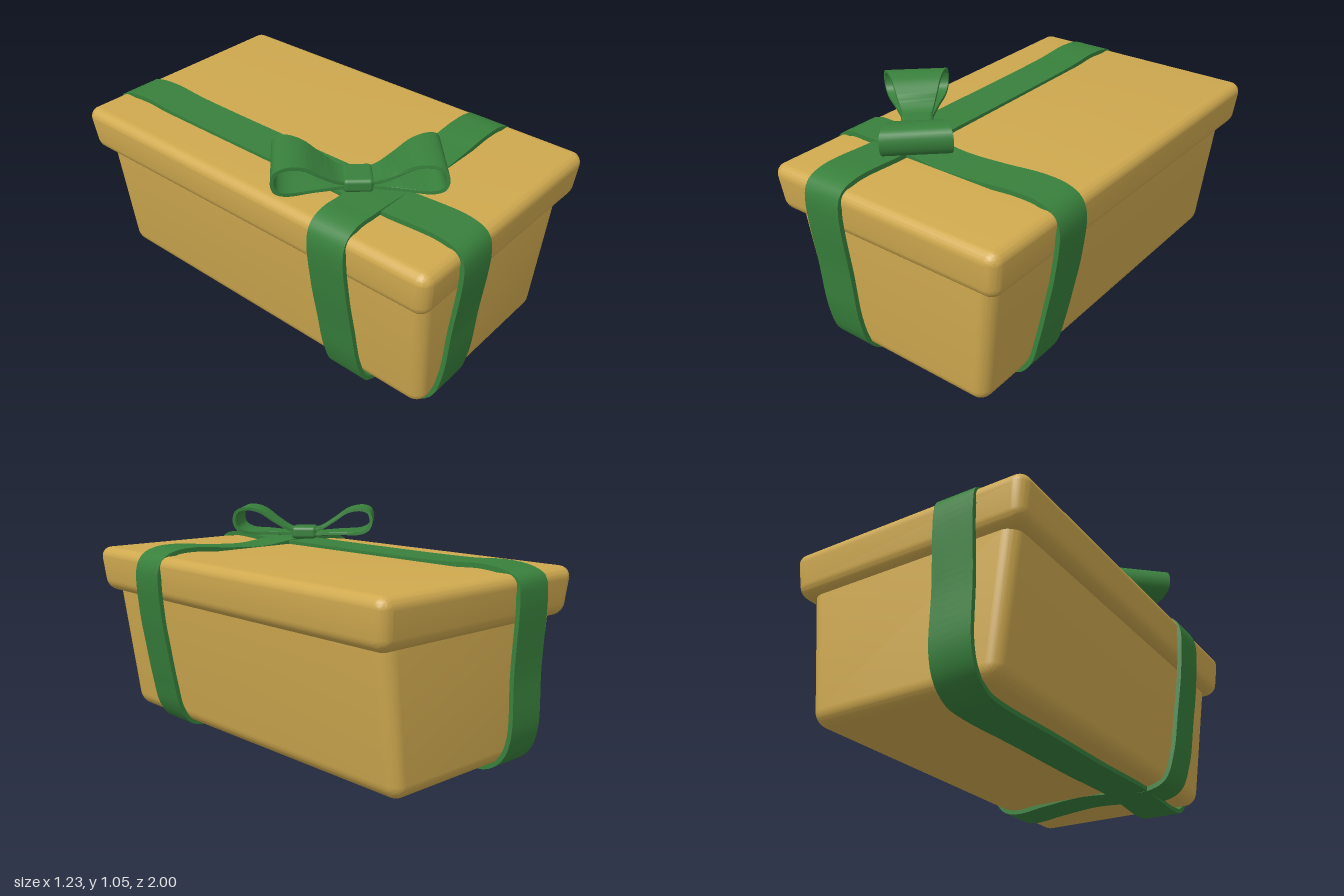
import * as THREE from 'three';
import { RoundedBoxGeometry } from 'three/addons/geometries/RoundedBoxGeometry.js';
import { toCreasedNormals } from 'three/addons/utils/BufferGeometryUtils.js';

const card = new THREE.MeshStandardMaterial({ color: 0xcfa94f });
const green = new THREE.MeshStandardMaterial({ color: 0x38803c });

// Move every vertex by a rule, then rebuild the normals
function reshape(geometry, rule, crease = 0.6) {
  const p = geometry.attributes.position;
  const v = new THREE.Vector3();
  for (let i = 0; i < p.count; i++) {
    v.fromBufferAttribute(p, i);
    rule(v);
    p.setXYZ(i, v.x, v.y, v.z);
  }
  return toCreasedNormals(geometry, crease);
}

function part(name, geometry, material) {
  const mesh = new THREE.Mesh(geometry, material);
  mesh.name = name;
  return mesh;
}

// Rounded box between y0 and y1 whose sides narrow towards the bottom
function taperedBox(width, depth, y0, y1, radius, narrowX, narrowZ, shiftZ) {
  const h = y1 - y0;
  const g = new RoundedBoxGeometry(width, h, depth, 6, radius);
  return reshape(g, (v) => {
    const down = 0.5 - v.y / h;
    v.x = v.x * (1 - narrowX * down) + 0.01;
    v.z = v.z * (1 - narrowZ * down) + shiftZ * down;
    v.y += (y0 + y1) / 2;
  });
}

// Points along a smooth path, with a copy shifted to its left by t
function pathSides(points, closed, t, n) {
  const curve = new THREE.CatmullRomCurve3(
    points.map(([x, y]) => new THREE.Vector3(x, y, 0)), closed, 'centripetal');
  const edge = [], inset = [];
  const count = closed ? n : n + 1;
  for (let i = 0; i < count; i++) {
    const p = curve.getPointAt(i / n), d = curve.getTangentAt(i / n);
    edge.push(new THREE.Vector2(p.x, p.y));
    inset.push(new THREE.Vector2(p.x - d.y * t, p.y + d.x * t));
  }
  return [edge, inset];
}

function extrude(shape, width) {
  const g = new THREE.ExtrudeGeometry(shape, { depth: width, bevelEnabled: false });
  return g.translate(0, 0, -width / 2);
}

// Closed ribbon: outer outline (counter-clockwise) with an inset hole
function ribbonLoop(points, width) {
  const [outer, inner] = pathSides(points, true, 0.021, 180);
  const shape = new THREE.Shape(outer);
  shape.holes.push(new THREE.Path(inner));
  return extrude(shape, width);
}

export function createModel() {
  const model = new THREE.Group();
  model.name = 'giftBox';

  model.add(part('boxBody', taperedBox(1.055, 1.86, 0.05, 0.72, 0.065, 0.16, 0.018, -0.016), card));
  model.add(part('boxLid', taperedBox(1.185, 1.97, 0.65, 0.865, 0.055, 0.04, 0.02, 0), card));

  // Ribbon running front to back: path in (z, y)
  const lengthwise = ribbonLoop([
    [-0.78, 0.006], [-0.4, 0.01], [0, 0.012], [0.45, 0.022], [0.74, 0.002], [0.84, 0.018],
    [0.91, 0.085], [0.95, 0.22], [0.972, 0.45], [0.998, 0.81], [0.97, 0.865], [0.89, 0.892],
    [0.6, 0.885], [0, 0.88], [-0.6, 0.882], [-0.8, 0.892], [-0.93, 0.875], [-0.985, 0.845],
    [-0.998, 0.78], [-0.985, 0.45], [-0.982, 0.18], [-0.945, 0.08], [-0.87, 0.02],
  ], 0.19).rotateY(-Math.PI / 2).translate(-0.265, 0, 0);
  model.add(part('lengthwiseRibbon', toCreasedNormals(lengthwise, 0.6), green));

  // Ribbon running side to side: path in (x, y), drifting forwards lower down
  const crosswise = ribbonLoop([
    [-0.36, 0.022], [-0.2, 0.036], [0, 0.05], [0.2, 0.036], [0.36, 0.022], [0.44, 0.045],
    [0.495, 0.12], [0.53, 0.25], [0.565, 0.42], [0.597, 0.6], [0.608, 0.8], [0.575, 0.86],
    [0.51, 0.888], [0.4, 0.895], [0.2, 0.878], [0, 0.868], [-0.2, 0.886], [-0.4, 0.892],
    [-0.5, 0.89], [-0.565, 0.86], [-0.592, 0.8], [-0.578, 0.58], [-0.545, 0.38],
    [-0.508, 0.18], [-0.455, 0.06],
  ], 0.185);
  model.add(part('crosswiseRibbon', reshape(crosswise, (v) => {
    v.z += 0.512 + 0.025 * (1 - v.y / 0.89);
  }), green));

  // Bow: two flaring loops mirrored about a knot
  const bow = new THREE.Group();
  bow.name = 'bow';
  bow.position.set(-0.277, 0, 0.418);
  bow.rotation.y = -0.825;
  const [outer, inner] = pathSides([
    [0, 0.905], [0.08, 0.908], [0.18, 0.914], [0.29, 0.92], [0.335, 0.945], [0.349, 0.99],
    [0.335, 1.035], [0.29, 1.051], [0.22, 1.038], [0.14, 0.985], [0.07, 0.945], [0, 0.938],
  ], false, 0.015, 70);
  const strip = new THREE.Shape([...outer, ...inner.reverse()]);
  const loopGeometry = reshape(extrude(strip, 1), (v) => {
    v.z *= 0.1 + 0.198 * Math.pow(Math.max(v.x, 0) / 0.349, 1.15);
  });
  for (const [name, turn] of [['frontBowLoop', 0], ['backBowLoop', Math.PI]]) {
    const loop = part(name, loopGeometry, green);
    loop.rotation.y = turn;
    bow.add(loop);
  }
  const knot = part('bowKnot', new RoundedBoxGeometry(0.125, 0.06, 0.14, 4, 0.018), green);
  knot.position.y = 0.92;
  bow.add(knot);
  model.add(bow);

  return model;
}
